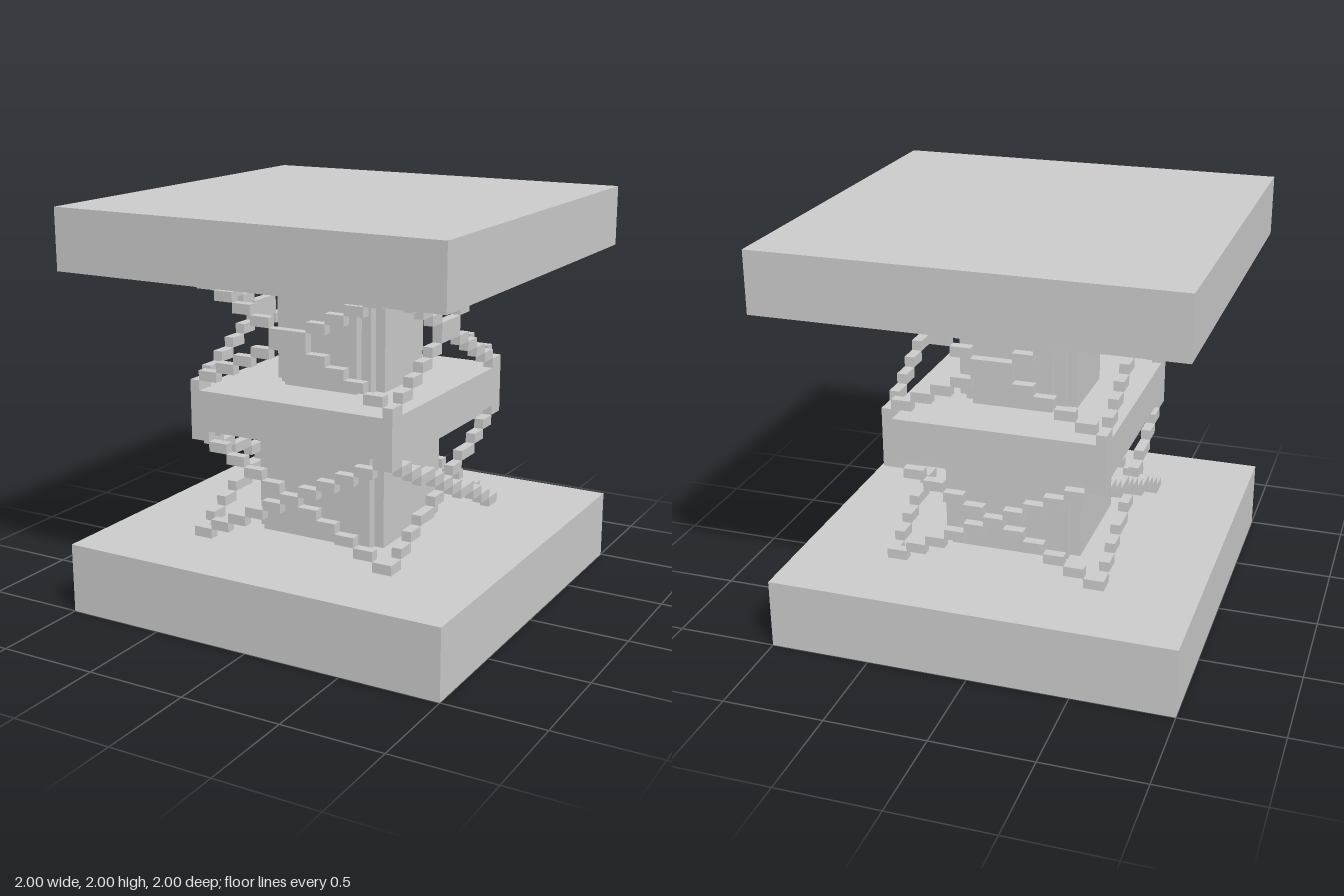
import * as THREE from 'three';

const mat = new THREE.MeshStandardMaterial({ color: 0xcccccc, flatShading: true });

function box(parent, name, w, h, d, x, y, z) {
  const mesh = new THREE.Mesh(new THREE.BoxGeometry(w, h, d), mat);
  mesh.name = name;
  mesh.position.set(x, y, z);
  parent.add(mesh);
  return mesh;
}

// Column with stepped corners; the points describe the +x +z quarter
function column(name, quarter, y0, y1) {
  const steps = [];
  quarter.forEach(([x, z], i) => {
    if (i) steps.push([quarter[i - 1][0], z]);
    steps.push([x, z]);
  });
  const pts = [];
  for (const [sx, sz] of [[1, 1], [-1, 1], [-1, -1], [1, -1]]) {
    const q = steps.map(([x, z]) => new THREE.Vector2(x * sx, z * sz));
    pts.push(...(sx * sz > 0 ? q : q.reverse()));
  }
  const geo = new THREE.ExtrudeGeometry(new THREE.Shape(pts), { depth: y1 - y0, bevelEnabled: false });
  geo.rotateX(-Math.PI / 2);
  const mesh = new THREE.Mesh(geo, mat);
  mesh.name = name;
  mesh.position.y = y0;
  return mesh;
}

// Stepped cross brace: edges run from the outer corner to the middle,
// one step per row, mirrored left-right and up-down
function crossBrace(name, edges, y0, y1) {
  const g = new THREE.Group();
  g.name = name;
  const s = 0.05;
  for (let i = 0; i < edges.length - 1; i++) {
    const w = edges[i] - edges[i + 1], mid = (edges[i] + edges[i + 1]) / 2;
    for (const side of [-1, 1]) {
      for (const y of [y0 + (i + 0.5) * s, y1 - (i + 0.5) * s]) {
        box(g, 'braceStep', w, s, s, side * mid, y, 0);
      }
    }
  }
  // middle block fills the remaining rows
  const n = edges.length - 1;
  box(g, 'braceMiddle', edges[n] * 2, y1 - y0 - 2 * n * s, s, 0, (y0 + y1) / 2, 0);
  return g;
}

export function createModel() {
  const model = new THREE.Group();
  model.name = 'pedestal';

  // Horizontal slabs
  box(model, 'baseSlab', 2, 0.35, 2, 0, 0.175, 0);
  box(model, 'middleSlab', 1.1, 0.2, 1.2, 0, 1, 0);
  box(model, 'topSlab', 2, 0.3, 2, 0, 1.85, 0);

  // Central columns
  model.add(column('lowerColumn', [[0.35, 0.25], [0.3, 0.3], [0.25, 0.35]], 0.35, 0.9));
  model.add(column('upperColumn', [[0.3, 0.15], [0.25, 0.2], [0.2, 0.25], [0.15, 0.3]], 1.1, 1.7));

  // Cross braces on all four sides of both storeys
  const storeys = [
    { level: 'lower', y0: 0.35, y1: 0.9,
      front: [0.55, 0.45, 0.35, 0.25, 0.15, 0.05], side: [0.6, 0.5, 0.4, 0.3, 0.15, 0.05] },
    { level: 'upper', y0: 1.1, y1: 1.7,
      front: [0.55, 0.5, 0.4, 0.3, 0.2, 0.1], side: [0.6, 0.5, 0.4, 0.3, 0.2, 0.1] },
  ];
  for (const { level, y0, y1, front, side } of storeys) {
    for (const s of [-1, 1]) {
      const f = crossBrace(level + (s > 0 ? 'FrontBrace' : 'BackBrace'), front, y0, y1);
      f.position.z = s * 0.575;
      const r = crossBrace(level + (s > 0 ? 'LeftBrace' : 'RightBrace'), side, y0, y1);
      r.rotation.y = Math.PI / 2;
      r.position.x = s * 0.525;
      model.add(f, r);
    }
  }

  // Recessed rails under the middle slab
  for (const s of [-1, 1]) box(model, 'underRail', 0.05, 0.05, 1, s * 0.475, 0.875, 0);

  return model;
}
